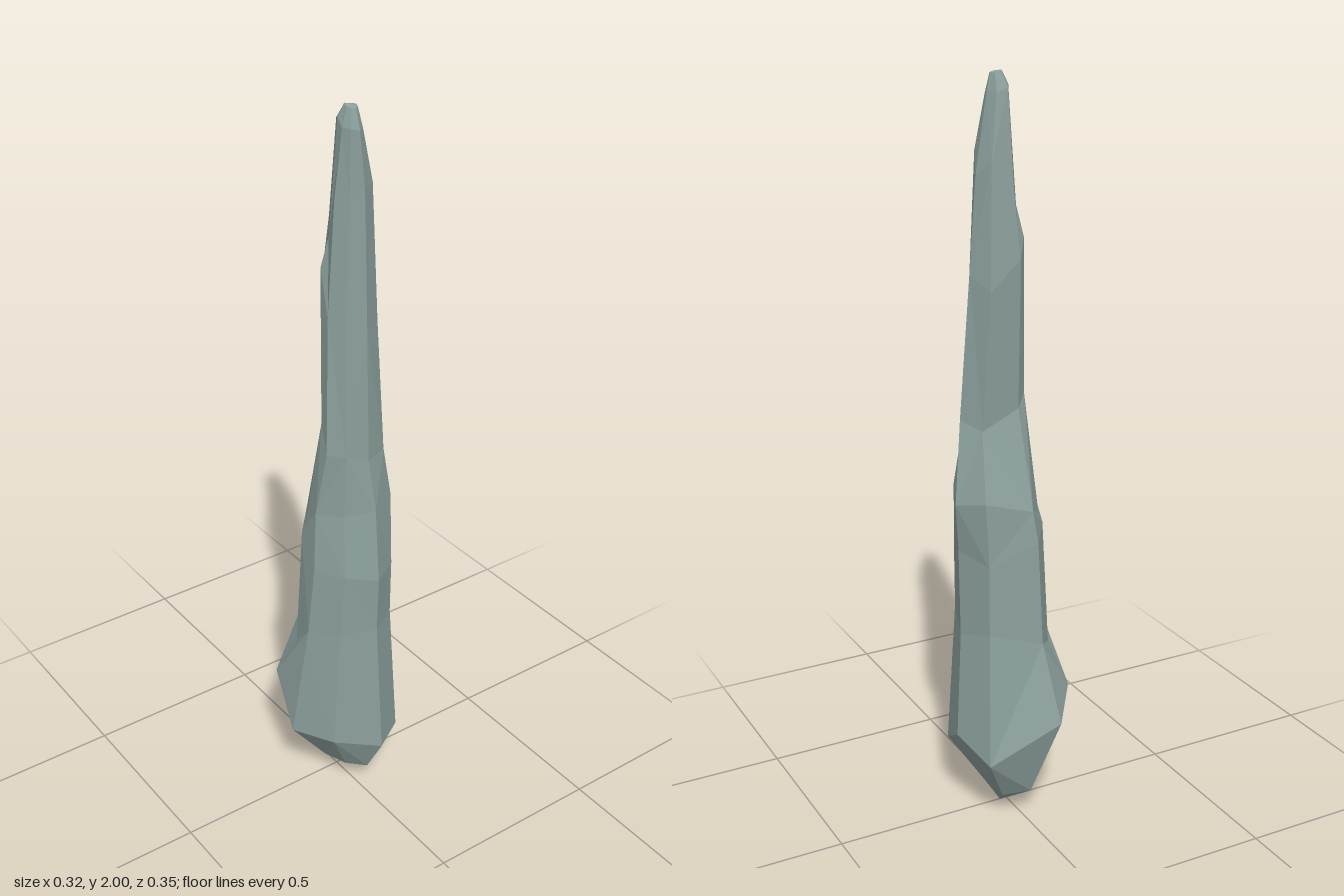
import * as THREE from 'three';

// Corner directions around the shaft, from -z round through +x, +z and -x
const lowerOutline = [[-0.45, -1], [0.81, -0.74], [1, -0.08], [0.8, 0.7], [0.25, 1], [-0.55, 0.64], [-1, 0.06], [-0.95, -0.45]];
const upperOutline = [[-0.55, -1], [0.55, -0.93], [1, -0.15], [0.72, 0.55], [0, 1], [-0.6, 0.67], [-1, 0.1], [-0.9, -0.5]];
// Uneven height of the corners, scaled per ring
const lift = [0.06, -0.04, 0.01, -0.07, -0.07, -0.04, -0.03, 0.12];

// Rings: height, lift factor, min x, max x, min z, max z
const rings = [
  [0.07, 0.1, -0.05, 0.065, -0.11, 0.12],
  [0.24, 1, -0.16, 0.158, -0.175, 0.175],
  [0.54, -0.5, -0.122, 0.13, -0.1, 0.157],
  [0.77, 0.5, -0.108, 0.13, -0.086, 0.162],
  [0.91, -0.4, -0.096, 0.14, -0.075, 0.135],
  [1.12, 0.5, -0.078, 0.108, 0, 0.118],
  [1.5, 0.8, -0.064, 0.085, -0.022, 0.112],
  [1.76, -0.7, -0.046, 0.063, -0.002, 0.1],
  [1.955, 0.12, -0.03, 0.025, 0.022, 0.094],
  [1.997, 0.04, -0.016, 0.014, 0.042, 0.075],
];

function ringPoint([y, f, x0, x1, z0, z1], i) {
  const t = Math.min(1, y / 1.1);
  const u = THREE.MathUtils.lerp(lowerOutline[i][0], upperOutline[i][0], t);
  const v = THREE.MathUtils.lerp(lowerOutline[i][1], upperOutline[i][1], t);
  return [(x0 + x1) / 2 + u * (x1 - x0) / 2, y + f * lift[i], (z0 + z1) / 2 + v * (z1 - z0) / 2];
}

export function createModel() {
  const n = lift.length;
  const points = rings.flatMap((r) => lift.map((_, i) => ringPoint(r, i)));
  const foot = points.push([0.02, 0, 0]) - 1;
  const tip = points.push([0, 2, 0.06]) - 1;

  // Facets between rings, closed by a fan at each end
  const index = [];
  const last = (rings.length - 1) * n;
  for (let i = 0; i < n; i++) {
    const j = (i + 1) % n;
    index.push(foot, i, j, tip, last + j, last + i);
    for (let k = 0; k < last; k += n) {
      const a = k + i, b = k + j, c = b + n, d = a + n;
      if ((i + k / n) % 2) index.push(a, d, b, b, d, c);
      else index.push(a, c, b, a, d, c);
    }
  }
  const indexed = new THREE.BufferGeometry();
  indexed.setAttribute('position', new THREE.Float32BufferAttribute(points.flat(), 3));
  indexed.setIndex(index);
  const geometry = indexed.toNonIndexed();
  geometry.computeVertexNormals();

  const shard = new THREE.Mesh(geometry, new THREE.MeshStandardMaterial({ color: 0x8a9e9b, flatShading: true }));
  shard.name = 'rockShard';
  const group = new THREE.Group();
  group.name = 'rockSpire';
  group.add(shard);
  return group;
}
